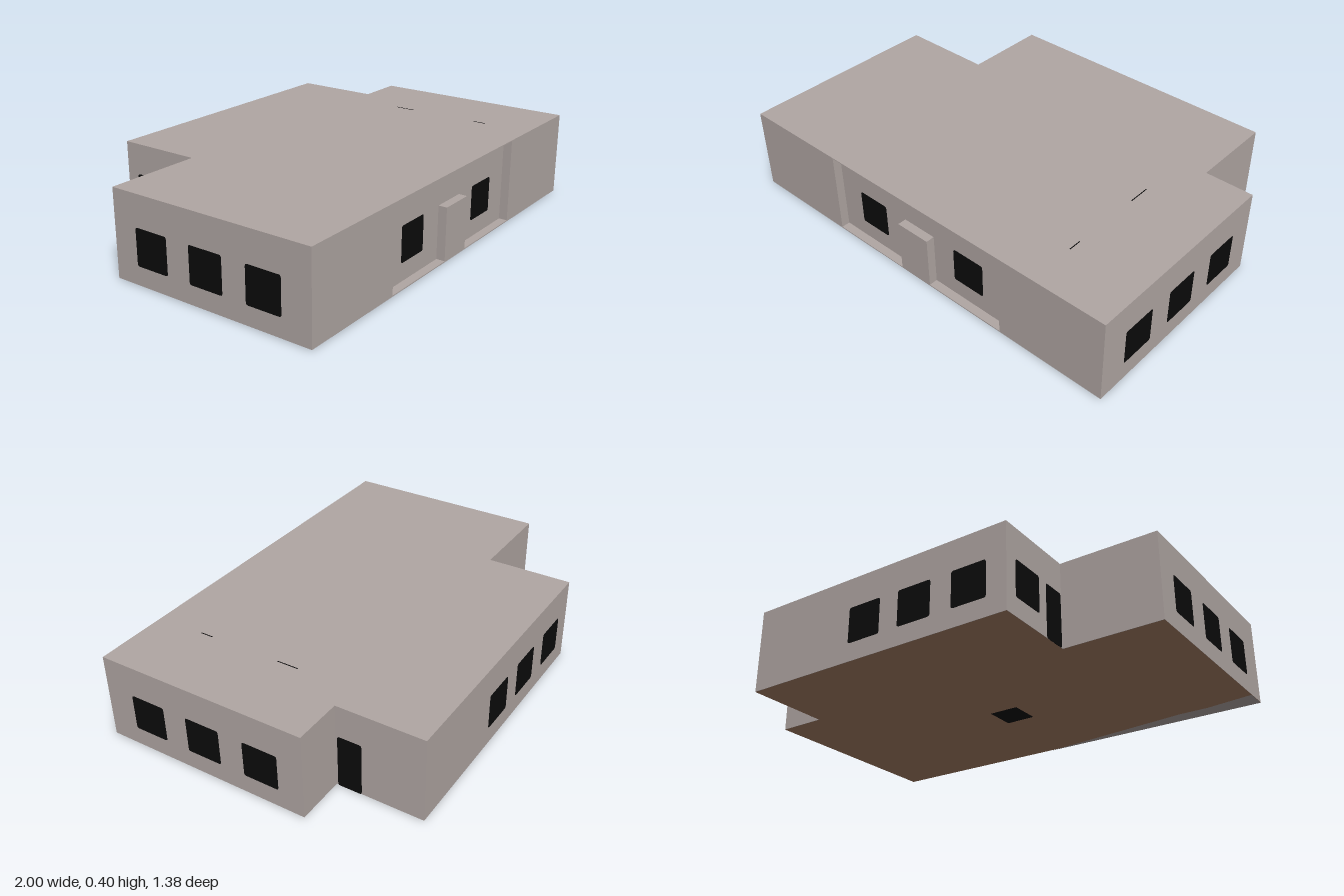
import * as THREE from 'three';

const H = 0.395;        // wall height
const FRONT = 0.69;     // front face
const RECESS = 0.65;    // set-back entrance wall
const BACK = -0.69;
const STEP = -0.29;     // where the rear wing begins

const wallMat = new THREE.MeshStandardMaterial({ color: 0xb0a6a3 });
wallMat.name = 'taupe plaster';
const glassMat = new THREE.MeshStandardMaterial({ color: 0x0b0b0b });
glassMat.name = 'black opening';
const floorMat = new THREE.MeshStandardMaterial({ color: 0xa67d64 });
floorMat.name = 'brown floor';

// plan outline in x and z, going round the rear wing
const rear = [[1, STEP], [0.775, STEP], [0.775, BACK], [-0.555, BACK], [-0.555, STEP], [-1, STEP]];
const outline = [[-1, FRONT], [1, FRONT], ...rear];
const wallOutline = [
  [-1, FRONT], [-0.485, FRONT], [-0.485, RECESS], [0.485, RECESS], [0.485, FRONT], [1, FRONT], ...rear,
];

function planShape(points, sign) {
  return new THREE.Shape(points.map(([x, z]) => new THREE.Vector2(x, sign * z)));
}

// upright prism standing on a plan outline
function prism(name, points, y0, y1) {
  const geo = new THREE.ExtrudeGeometry(planShape(points, -1), { depth: y1 - y0, bevelEnabled: false });
  geo.rotateX(-Math.PI / 2).translate(0, y0, 0);
  const mesh = new THREE.Mesh(geo, wallMat);
  mesh.name = name;
  return mesh;
}

// flat sheet facing down
function underside(name, points, y, material) {
  const geo = new THREE.ShapeGeometry(planShape(points, 1));
  geo.rotateX(Math.PI / 2).translate(0, y, 0);
  const mesh = new THREE.Mesh(geo, material);
  mesh.name = name;
  return mesh;
}

// thin rounded plate, facing +z before turning
function plate(name, w, h, x, y, z, turn) {
  const r = 0.01, a = w / 2, b = h / 2;
  const s = new THREE.Shape();
  s.moveTo(-a + r, -b);
  s.lineTo(a - r, -b).quadraticCurveTo(a, -b, a, -b + r);
  s.lineTo(a, b - r).quadraticCurveTo(a, b, a - r, b);
  s.lineTo(-a + r, b).quadraticCurveTo(-a, b, -a, b - r);
  s.lineTo(-a, -b + r).quadraticCurveTo(-a, -b, -a + r, -b);
  const geo = new THREE.ExtrudeGeometry(s, { depth: 0.004, bevelEnabled: false, curveSegments: 3 });
  geo.translate(0, 0, -0.002);
  const mesh = new THREE.Mesh(geo, glassMat);
  mesh.name = name;
  mesh.position.set(x, y, z);
  mesh.rotation.y = turn;
  return mesh;
}

function box(name, size, position, material) {
  const mesh = new THREE.Mesh(new THREE.BoxGeometry(...size), material);
  mesh.name = name;
  mesh.position.set(...position);
  return mesh;
}

export function createModel() {
  const model = new THREE.Group();
  model.name = 'house';

  // shell
  model.add(
    prism('walls', wallOutline, 0.004, H - 0.003),
    prism('roof', outline, H - 0.004, H),
    prism('base', outline, 0.003, 0.008),
    underside('floor', outline, 0.002, floorMat),
    underside('floorFrontStrip',
      [[0.1, FRONT], [-0.64, 0.61], [-0.78, 0.61], [-1, 0.58], [-1, FRONT]], 0, wallMat),
    underside('floorHatch', [[-0.07, 0.105], [0.07, 0.105], [0.07, 0.25], [-0.07, 0.25]], 0, glassMat),
  );

  // front door porch, filling the recess depth
  model.add(box('frontDoor', [0.17, 0.245, 0.05], [0, 0.1265, FRONT - 0.025], wallMat));

  // front windows
  for (const x of [-0.285, 0.28]) {
    model.add(plate('frontWindow', 0.16, 0.16, x, 0.17, RECESS, 0));
  }

  // windows on both long sides
  for (const side of [-1, 1]) {
    for (const z of [0.472, 0.192, -0.09]) {
      model.add(plate('sideWindow', 0.165, 0.165, side * 0.999, 0.17, z, side * Math.PI / 2));
    }
  }

  // rear wing windows
  for (const x of [0.155, -0.108, -0.378]) {
    model.add(plate('rearWindow', 0.165, 0.165, x, 0.17, BACK, Math.PI));
  }
  model.add(plate('wingWindow', 0.165, 0.165, -0.555, 0.17, -0.545, -Math.PI / 2));

  // side doors of the rear wing
  for (const [x, turn] of [[0.775, Math.PI / 2], [-0.555, -Math.PI / 2]]) {
    model.add(plate('wingDoor', 0.11, 0.245, x, 0.1255, -0.353, turn));
  }

  // narrow roof slits
  for (const [z, length] of [[0.02, 0.1], [0.435, 0.06]]) {
    model.add(box('roofSlit', [0.004, 0.002, length], [0.652, H, z], glassMat));
  }
  return model;
}
